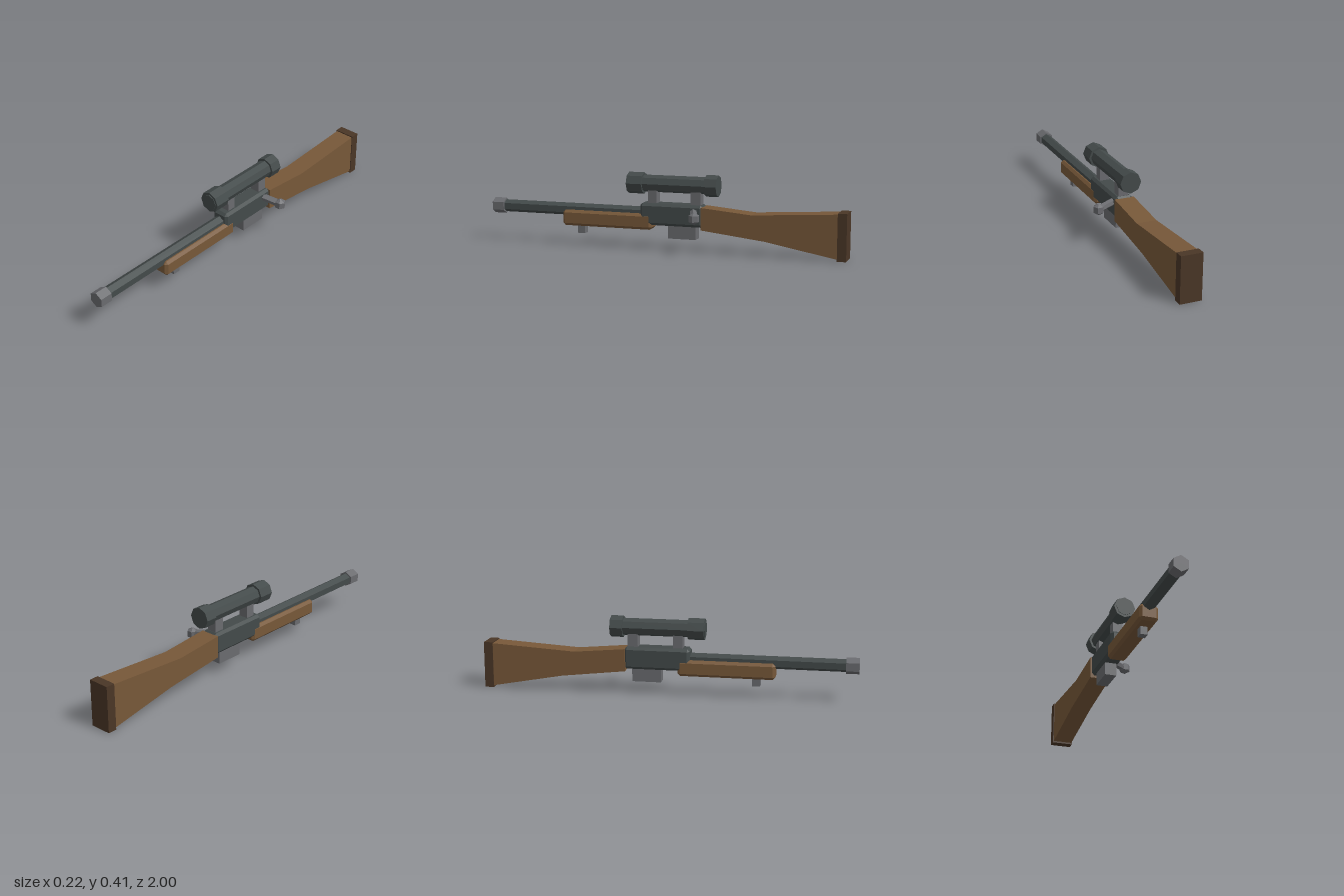
import * as THREE from 'three';
import { ConvexGeometry } from 'three/addons/geometries/ConvexGeometry.js';

const CX = -0.055; // centre plane of the rifle; the bolt handle reaches out to +x

const material = (name, color) => {
  const m = new THREE.MeshStandardMaterial({ color, flatShading: true });
  m.name = name;
  return m;
};

// Box between two corners with all edges chamfered by c
function chamferBox(w, [y0, y1], [z0, z1], c) {
  const half = [w / 2, (y1 - y0) / 2, (z1 - z0) / 2];
  const points = [];
  for (let axis = 0; axis < 3; axis++)
    for (const sx of [-1, 1]) for (const sy of [-1, 1]) for (const sz of [-1, 1]) {
      const p = [sx, sy, sz].map((s, i) => s * (half[i] - (i === axis ? 0 : c)));
      points.push(new THREE.Vector3(...p));
    }
  return new ConvexGeometry(points).translate(CX, (y0 + y1) / 2, (z0 + z1) / 2);
}

// Plain box on the centre plane
const box = (w, [y0, y1], [z0, z1]) =>
  new THREE.BoxGeometry(w, y1 - y0, z1 - z0).translate(CX, (y0 + y1) / 2, (z0 + z1) / 2);

// Faceted rod along z
const rod = (radius, sides, y, [z0, z1]) =>
  new THREE.CylinderGeometry(radius, radius, z1 - z0, sides)
    .rotateX(Math.PI / 2).translate(CX, y, (z0 + z1) / 2);

export function createModel() {
  const group = new THREE.Group();
  group.name = 'scopedRifle';
  const wood = material('wood', 0x775839);
  const darkWood = material('dark wood', 0x4a3626);
  const gunmetal = material('gunmetal', 0x434a4a);
  const steel = material('steel', 0x6a6b6f);

  const add = (name, geometry, mat) => {
    const mesh = new THREE.Mesh(geometry, mat);
    mesh.name = name;
    group.add(mesh);
    return mesh;
  };

  // Barrel and muzzle
  add('barrel', rod(0.034, 6, 0.19, [0.08, 0.94]), gunmetal);
  add('muzzle', rod(0.0435, 6, 0.19, [0.932, 1]), steel);

  // Receiver, magazine and fore-end
  add('receiver', chamferBox(0.098, [0.131, 0.249], [-0.232, 0.12], 0.014), gunmetal);
  add('magazine', box(0.062, [0.062, 0.15], [-0.19, -0.035]), steel);
  add('foreEnd', chamferBox(0.1, [0.104, 0.19], [0.055, 0.57], 0.014), wood);
  add('slingMount', box(0.038, [0.061, 0.12], [0.448, 0.49]), steel);

  // Stock: side profile drawn as (-z, y), extruded across the width
  const profile = [[0.225, 0.12], [0.57, 0.08], [0.96, 0.008], [0.96, 0.243], [0.5, 0.215], [0.225, 0.24]];
  const shape = new THREE.Shape(profile.map(([s, y]) => new THREE.Vector2(s, y)));
  const stock = new THREE.ExtrudeGeometry(shape, { depth: 0.108, bevelEnabled: false })
    .rotateY(Math.PI / 2).translate(CX - 0.054, 0, 0);
  add('stock', stock, wood);
  add('buttPad', box(0.116, [0, 0.248], [-1, -0.952]), darkWood);

  // Scope with a bell at each end, on two mounts
  const scopeY = 0.352;
  add('scopeTube', rod(0.046, 8, scopeY, [-0.25, 0.12]), gunmetal);
  add('scopeFrontBell', rod(0.058, 8, scopeY, [0.108, 0.195]), gunmetal);
  add('scopeRearBell', rod(0.058, 8, scopeY, [-0.307, -0.24]), gunmetal);
  add('scopeLens', rod(0.045, 8, scopeY, [0.194, 0.198]), gunmetal);
  [[0.03, 0.08], [-0.215, -0.16]].forEach((z, i) =>
    add(i ? 'rearScopeMount' : 'frontScopeMount', box(0.054, [0.235, 0.325], z), steel));

  // Bolt handle and knob
  const start = new THREE.Vector3(-0.03, 0.216, -0.177);
  const end = new THREE.Vector3(0.083, 0.195, -0.214);
  const direction = end.clone().sub(start);
  const handle = add('boltHandle', new THREE.CylinderGeometry(0.02, 0.02, direction.length(), 6), steel);
  handle.position.copy(start).add(end).multiplyScalar(0.5);
  handle.quaternion.setFromUnitVectors(new THREE.Vector3(0, 1, 0), direction.normalize());
  add('boltKnob', new THREE.SphereGeometry(0.033, 6, 3), steel).position.copy(end);

  return group;
}
